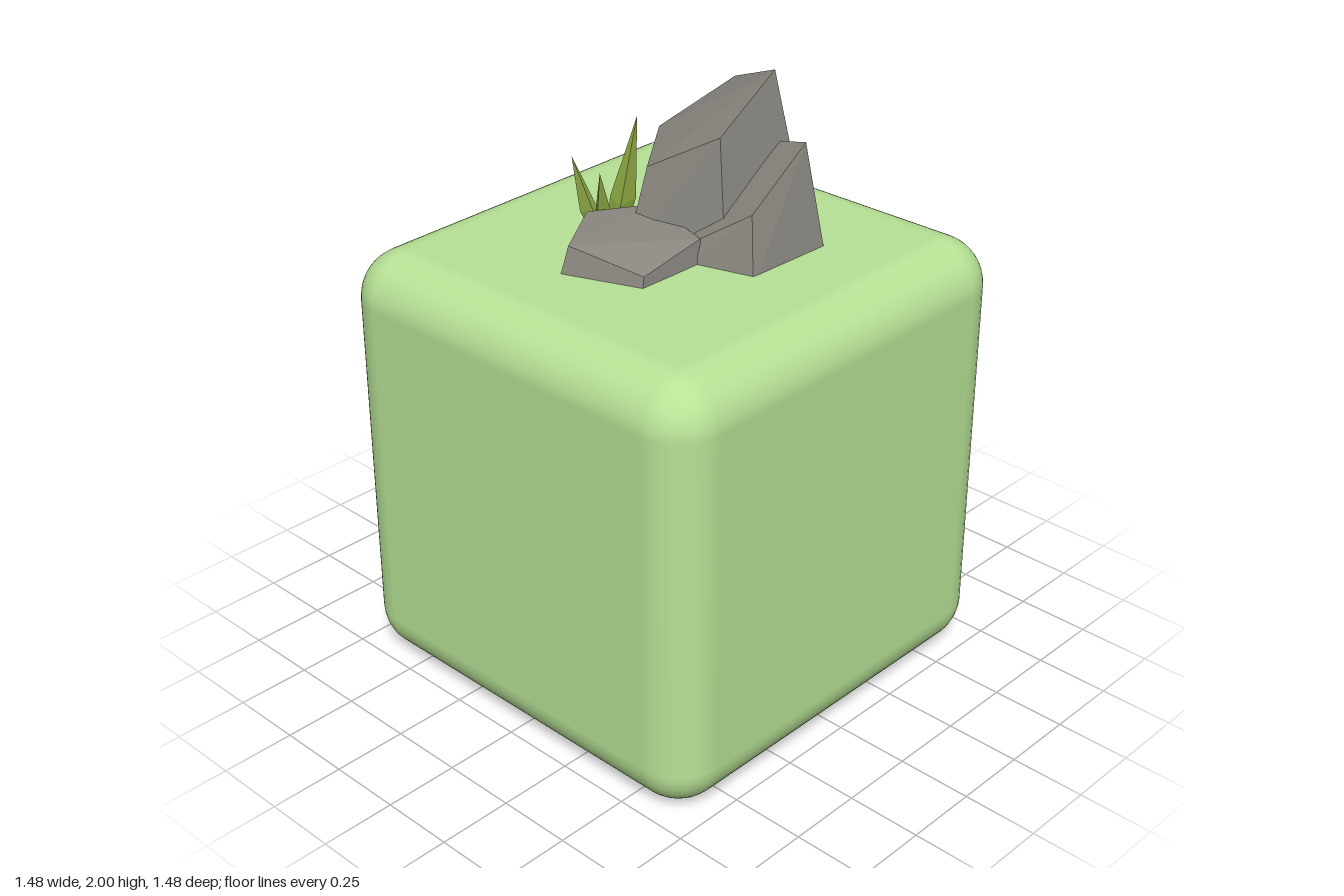
import * as THREE from 'three';
import { RoundedBoxGeometry } from 'three/addons/geometries/RoundedBoxGeometry.js';
import { ConvexGeometry } from 'three/addons/geometries/ConvexGeometry.js';

const BASE_Y = 1.44; // rocks and grass are sunk slightly into the block

// Five-sided rock: base corners [x, z] and tilted top corners [x, y, z]
function rock(name, base, top, material) {
  const points = [
    ...base.map(([x, z]) => new THREE.Vector3(x, BASE_Y, z)),
    ...top.map((p) => new THREE.Vector3(...p)),
  ];
  const mesh = new THREE.Mesh(new ConvexGeometry(points), material);
  mesh.name = name;
  return mesh;
}

// Three-sided blade, widest a little above its root and leaning to its tip
function blade(root, tip, radius, turn, material) {
  const a = new THREE.Vector3(...root);
  const b = new THREE.Vector3(...tip);
  const points = [a, b];
  const middle = a.clone().lerp(b, 0.3);
  for (let i = 0; i < 3; i++) {
    const t = turn + (i * Math.PI * 2) / 3;
    points.push(new THREE.Vector3(
      middle.x + Math.cos(t) * radius, middle.y, middle.z + Math.sin(t) * radius));
    points.push(new THREE.Vector3(
      a.x + Math.cos(t) * radius * 0.6, a.y, a.z + Math.sin(t) * radius * 0.6));
  }
  const mesh = new THREE.Mesh(new ConvexGeometry(points), material);
  mesh.name = 'grassBlade';
  return mesh;
}

export function createModel() {
  const model = new THREE.Group();
  model.name = 'rockyGrassBlock';
  const green = new THREE.MeshStandardMaterial({ color: 0xb8e296 });
  const stone = new THREE.MeshStandardMaterial({ color: 0x8a8780, flatShading: true });
  const leaf = new THREE.MeshStandardMaterial({ color: 0x9ab84a, flatShading: true });

  // Soft-edged block whose top dips slightly towards the front
  const blockGeometry = new RoundedBoxGeometry(1.475, 1.475, 1.475, 5, 0.16);
  blockGeometry.translate(0, 0.7375, 0);
  const p = blockGeometry.attributes.position;
  for (let i = 0; i < p.count; i++) {
    const lift = p.getY(i) / 1.475;
    p.setY(i, p.getY(i) + lift * (0.005 * p.getX(i) - 0.016 * p.getZ(i)));
  }
  const block = new THREE.Mesh(blockGeometry, green);
  block.name = 'block';
  model.add(block);

  // Rocks
  const rocks = new THREE.Group();
  rocks.name = 'rocks';
  rocks.add(
    rock('tallRock',
      [[-0.33, -0.18], [-0.12, -0.485], [0.245, -0.37], [0.215, -0.01], [-0.105, 0.1]],
      [[-0.23, 1.75, -0.18], [-0.09, 1.9, -0.38], [0.145, 2, -0.3],
        [0.15, 1.85, -0.05], [-0.09, 1.71, 0.02]], stone),
    rock('sideRock',
      [[0.0, -0.12], [0.2, -0.355], [0.37, -0.3], [0.355, 0.02], [0.1, 0.09]],
      [[0.02, 1.6, -0.12], [0.18, 1.78, -0.29], [0.31, 1.82, -0.26],
        [0.31, 1.655, -0.02], [0.11, 1.52, 0.05]], stone),
    rock('lowRock',
      [[-0.265, 0.16], [-0.1, 0.395], [0.16, 0.3], [0.17, 0.04], [-0.1, -0.04]],
      [[-0.225, 1.56, 0.15], [-0.09, 1.555, 0.36], [0.155, 1.505, 0.285],
        [0.155, 1.55, 0.04], [-0.1, 1.57, -0.02]], stone));
  model.add(rocks);

  // Grass tuft
  const grass = new THREE.Group();
  grass.name = 'grassTuft';
  grass.add(
    blade([-0.265, BASE_Y, 0.06], [-0.32, 1.71, 0.12], 0.035, 0.4, leaf),
    blade([-0.25, BASE_Y, 0.06], [-0.175, 1.7, 0.14], 0.035, 1.2, leaf),
    blade([-0.22, BASE_Y, 0.03], [-0.18, 1.84, -0.03], 0.048, 0.9, leaf),
    blade([-0.265, BASE_Y, 0.04], [-0.295, 1.6, 0.02], 0.028, 2, leaf));
  model.add(grass);

  return model;
}
